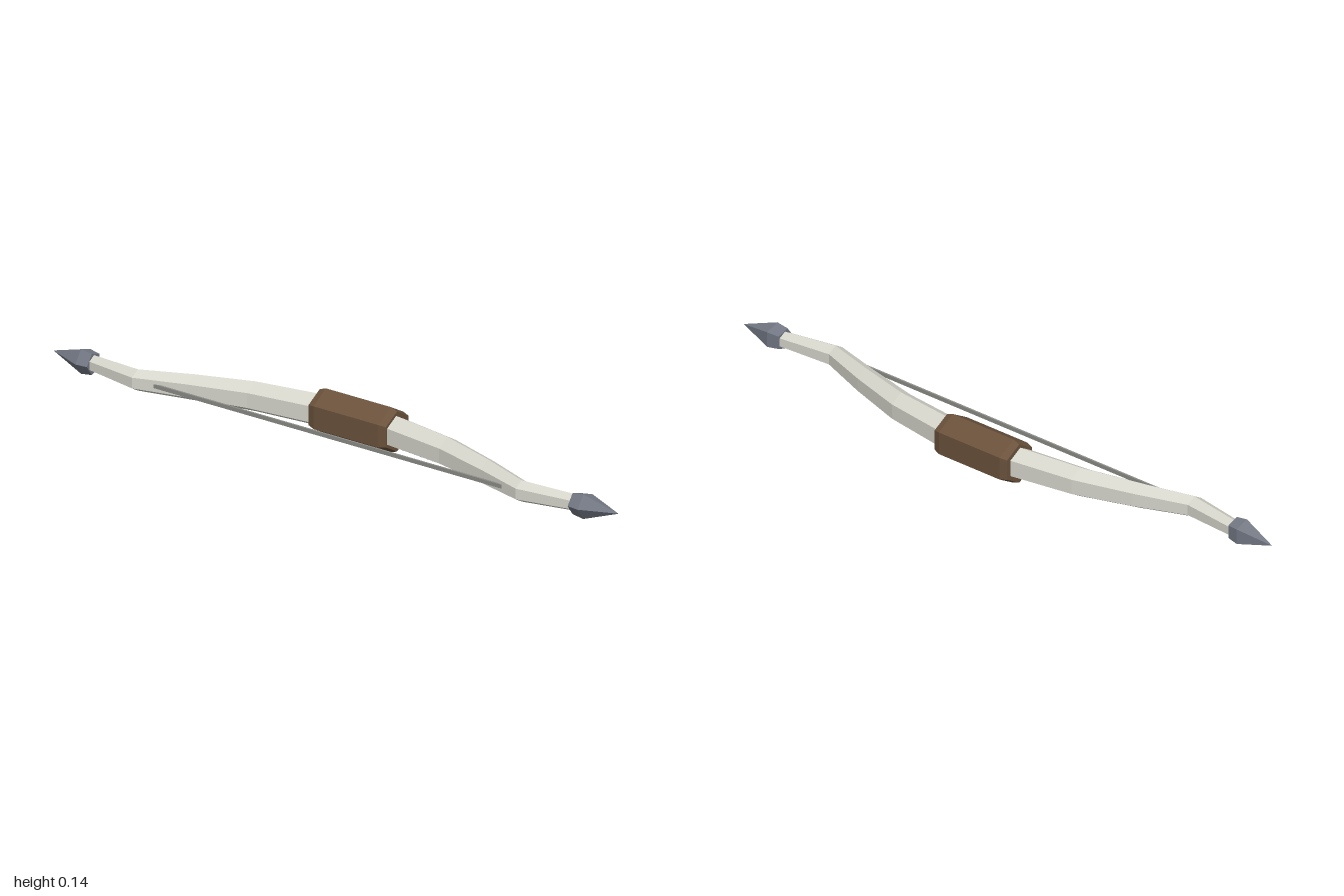
import * as THREE from 'three';

const Y = 0.0725; // height of the bow's centre line

const paint = (color) => new THREE.MeshStandardMaterial({ color, flatShading: true });

// Lofts polygon rings [z, centreX, radius], listed in order of rising z, and caps both ends.
function loft(rings, sides, phase, material, name) {
  const pos = [], index = [];
  for (const [z, x, r] of rings) {
    for (let i = 0; i < sides; i++) {
      const a = phase + (i / sides) * Math.PI * 2;
      pos.push(x + r * Math.cos(a), Y + r * Math.sin(a), z);
    }
  }
  for (let k = 0; k < rings.length - 1; k++) {
    for (let i = 0; i < sides; i++) {
      const a = k * sides + i, b = k * sides + (i + 1) % sides;
      index.push(a, b, b + sides, a, b + sides, a + sides);
    }
  }
  const last = (rings.length - 1) * sides;
  for (let i = 1; i < sides - 1; i++) {
    index.push(0, i + 1, i, last, last + i, last + i + 1);
  }
  const geo = new THREE.BufferGeometry();
  geo.setAttribute('position', new THREE.Float32BufferAttribute(pos, 3));
  geo.setIndex(index);
  const flat = geo.toNonIndexed();
  flat.computeVertexNormals();
  const mesh = new THREE.Mesh(flat, material);
  mesh.name = name;
  return mesh;
}

// The same rings seen from the other end of the bow
const mirrored = (rings) => rings.map(([z, x, r]) => [-z, x, r]).reverse();

export function createModel() {
  const bow = new THREE.Group();
  bow.name = 'bow';
  const wood = paint(0xd6d6cc), leather = paint(0x6b523c), metal = paint(0x737884);

  // Recurved limbs
  const limb = [
    [0.12, 0.05, 0.05],
    [0.34, 0.019, 0.046],
    [0.52, -0.032, 0.04],
    [0.68, -0.085, 0.033],
    [0.87, -0.06, 0.025],
  ];
  bow.add(loft(limb, 6, Math.PI / 6, wood, 'frontLimb'));
  bow.add(loft(mirrored(limb), 6, Math.PI / 6, wood, 'backLimb'));

  // Hexagonal grip with chamfered ends
  const halfGrip = [[0.115, 0.052, 0.07], [0.137, 0.052, 0.062]];
  bow.add(loft([...mirrored(halfGrip), ...halfGrip], 6, Math.PI / 6, leather, 'grip'));

  // Five-sided pointed tips
  const tip = [
    [0.852, -0.063, 0.034],
    [0.89, -0.061, 0.04],
    [1.0, -0.055, 0.0005],
  ];
  bow.add(loft(tip, 5, Math.PI / 5, metal, 'frontTip'));
  bow.add(loft(mirrored(tip), 5, Math.PI / 5, metal, 'backTip'));

  // Bowstring running between the bends of the limbs
  const string = new THREE.Mesh(new THREE.BoxGeometry(0.006, 0.012, 1.34), paint(0x8c8c88));
  string.name = 'bowstring';
  string.position.set(-0.092, Y, 0);
  bow.add(string);

  return bow;
}
